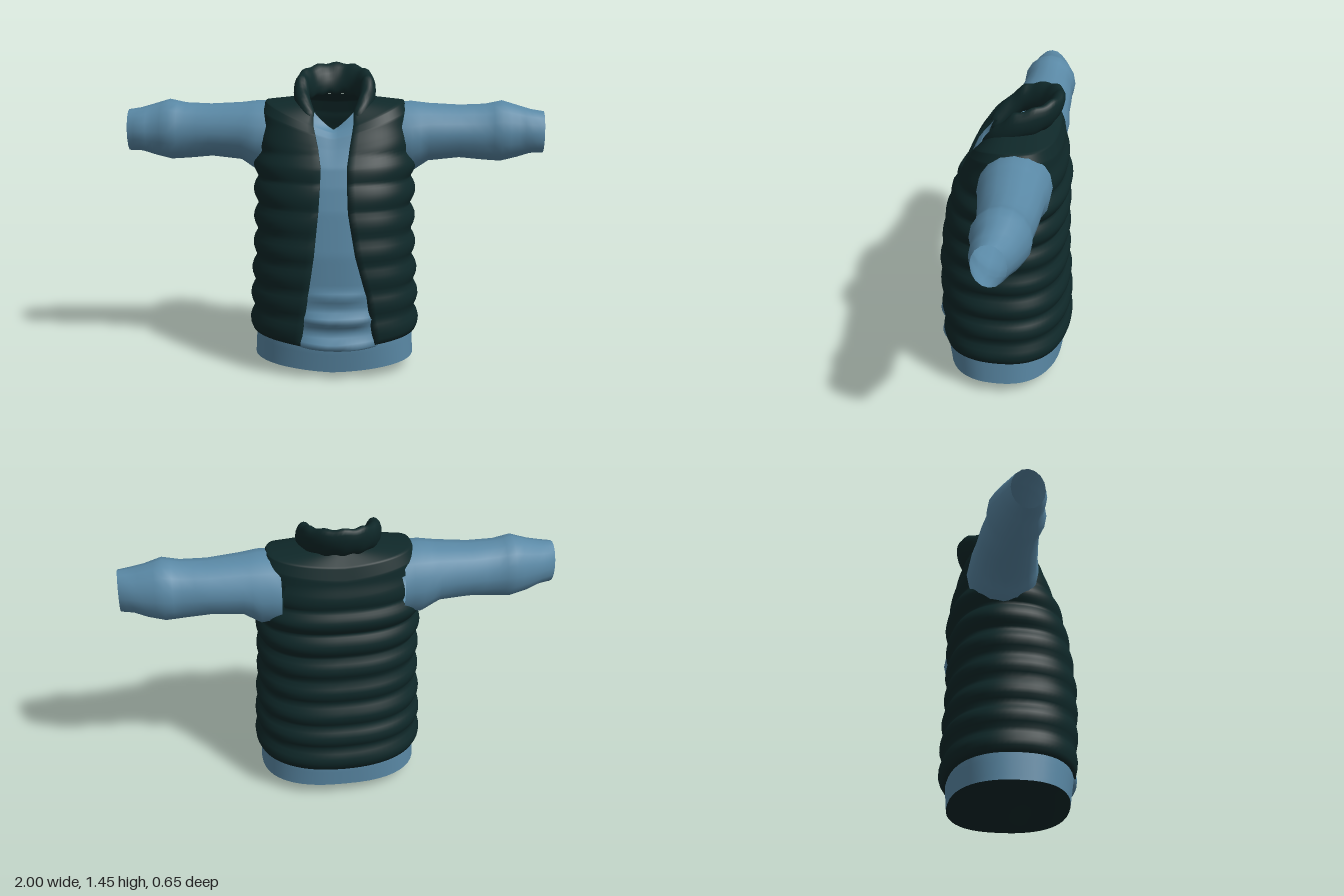
import * as THREE from 'three';
import { mergeVertices } from 'three/addons/utils/BufferGeometryUtils.js';

const { lerp } = THREE.MathUtils;

// Torso levels: y at side, front, back; half width; front z; back z; centre z
const TORSO = [
  [0.06, 0.03, 0.065, 0.385, 0.27, -0.285, 0],
  [0.19, 0.15, 0.17, 0.385, 0.295, -0.3, 0],
  [0.4, 0.4, 0.4, 0.378, 0.305, -0.295, 0],
  [0.6, 0.6, 0.6, 0.365, 0.307, -0.28, 0],
  [0.8, 0.8, 0.8, 0.36, 0.285, -0.275, -0.01],
  [0.92, 0.91, 0.92, 0.363, 0.262, -0.275, -0.03],
  [1.02, 1.0, 1.02, 0.365, 0.235, -0.28, -0.05],
  [1.15, 1.08, 1.12, 0.362, 0.19, -0.275, -0.07],
  [1.24, 1.13, 1.2, 0.355, 0.165, -0.265, -0.08],
  [1.285, 1.155, 1.26, 0.33, 0.14, -0.245, -0.08],
  [1.305, 1.165, 1.3, 0.16, 0.11, -0.19, -0.06],
];
// Half widths of the vest opening at levels 1 to 10
const EDGE_RIGHT = [0.15, 0.115, 0.085, 0.065, 0.058, 0.055, 0.07, 0.085, 0.095, 0.1];
const EDGE_LEFT = [0.2, 0.165, 0.11, 0.075, 0.07, 0.068, 0.08, 0.09, 0.095, 0.1];
// Sleeve rings: x, centre y, y radius, centre z, z radius
const SLEEVE = [
  [0.28, 1.11, 0.17, -0.085, 0.165],
  [0.37, 1.11, 0.172, -0.085, 0.165],
  [0.45, 1.132, 0.14, -0.09, 0.15],
  [0.6, 1.135, 0.128, -0.1, 0.135],
  [0.72, 1.132, 0.136, -0.1, 0.123],
  [0.8, 1.138, 0.147, -0.1, 0.132],
  [0.88, 1.136, 0.125, -0.1, 0.108],
  [0.94, 1.138, 0.106, -0.09, 0.098],
  [1.0, 1.135, 0.1, -0.085, 0.076],
];
const POWER = 2.4;

function sample(list, v) {
  const i = Math.min(Math.floor(v), list.length - 2);
  const f = v - i;
  return Array.isArray(list[0])
    ? list[i].map((a, k) => lerp(a, list[i + 1][k], f))
    : lerp(list[i], list[i + 1], f);
}

// Point on the torso; angle 0 is +x, PI/2 is the front
function torso(v, angle, out = 0) {
  const [side, front, back, w, zf, zb, c] = sample(TORSO, v);
  const cs = Math.cos(angle), sn = Math.sin(angle);
  const ex = Math.sign(cs) * Math.abs(cs) ** (2 / POWER);
  const ez = Math.sign(sn) * Math.abs(sn) ** (2 / POWER);
  return new THREE.Vector3(
    ex * w + cs * out,
    lerp(sn > 0 ? front : back, side, Math.abs(cs)),
    c + ez * (sn > 0 ? zf - c : c - zb) + sn * out
  );
}

// Surface over a grid of fn(u, v); keep() may drop faces
function grid(name, cols, rows, fn, material, keep = () => true, flip = false) {
  const points = [], index = [];
  for (let j = 0; j <= rows; j++)
    for (let i = 0; i <= cols; i++) points.push(fn(i / cols, j / rows, i, j));
  for (let j = 0; j < rows; j++) {
    for (let i = 0; i < cols; i++) {
      const a = j * (cols + 1) + i, b = a + 1, d = a + cols + 1, c = d + 1;
      if (!keep([a, b, c, d].map((k) => points[k]))) continue;
      index.push(...(flip ? [a, c, b, a, d, c] : [a, b, c, a, c, d]));
    }
  }
  let g = new THREE.BufferGeometry().setFromPoints(points);
  g.setIndex(index);
  g = mergeVertices(g, 1e-5);
  g.computeVertexNormals();
  const mesh = new THREE.Mesh(g, material);
  mesh.name = name;
  return mesh;
}

// Angle on the torso where the half width equals x
function edgeAngle(v, x) {
  return Math.acos(Math.min(1, x / sample(TORSO, v)[3]) ** (POWER / 2));
}

export function createModel() {
  const group = new THREE.Group();
  group.name = 'vestAndShirt';
  const vestGreen = new THREE.MeshStandardMaterial({ color: 0x0f2829, side: THREE.DoubleSide });
  const shirtBlue = new THREE.MeshStandardMaterial({ color: 0x5a89a6 });
  const sleeveBlue = shirtBlue;
  sleeveBlue.side = THREE.FrontSide;

  // Quilted vest, edges folded inward at the hem and the opening
  const cols = 72, rows = 82;
  const inArmhole = (p) => Math.abs(p.x) > 0.2 &&
    ((p.y - 1.11) / 0.162) ** 2 + ((p.z + 0.085) / 0.157) ** 2 < 1;
  group.add(grid('quiltedVest', cols, rows, (u, t, i, j) => {
    const v = 1 + 9 * Math.max(0, j - 1) / (rows - 1);
    const s = THREE.MathUtils.clamp((i - 1) / (cols - 2), 0, 1);
    const start = edgeAngle(v, sample(EDGE_LEFT, v - 1));
    const end = -Math.PI - edgeAngle(v, sample(EDGE_RIGHT, v - 1));
    const angle = lerp(start, end, s);
    const y = torso(v, angle).y;
    const fade = THREE.MathUtils.clamp((1.2 - y) / 0.2, 0, 1);
    const depth = lerp(0.028, 0.01, Math.max(0, Math.sin(angle)));
    let out = depth * fade * Math.abs(Math.sin(Math.PI * (y - 0.17) / 0.127));
    if (j === 0 || i === 0 || i === cols) out = -0.03;
    return torso(v, angle, out);
  }, vestGreen, (quad) => !quad.every(inArmhole)));

  // Shirt front with soft creases near the waist, and its dark lining
  const shirtFront = (u, t) => {
    const v = 0.9 + 9.1 * t;
    const reach = (list) => edgeAngle(v, sample(list, Math.max(0, v - 1)) + 0.045);
    const angle = lerp(Math.PI - reach(EDGE_RIGHT), reach(EDGE_LEFT), u);
    const y = torso(v, angle).y;
    const crease = Math.max(0, Math.cos((y - 0.165 - 0.1 * (u - 0.5) ** 2) * 2 * Math.PI / 0.12));
    const waist = THREE.MathUtils.clamp((0.45 - y) / 0.12, 0, 1);
    const middle = Math.sin(Math.PI * u);
    return torso(v, angle, -0.012 + 0.038 * crease * waist * middle);
  };
  group.add(grid('shirtFront', 20, 90, shirtFront, shirtBlue));
  group.add(grid('shirtLining', 20, 90, (u, t) => {
    const p = shirtFront(u, t);
    p.z -= 0.006;
    return p;
  }, vestGreen, undefined, true));

  // Shirt hem below the vest
  const around = (u) => Math.PI / 2 - u * 2 * Math.PI;
  group.add(grid('shirtHem', 48, 6, (u, t) => torso(t * 1.1, around(u), -0.008 * t), shirtBlue));

  // Dark inside closing the hem, sagging toward the front
  group.add(grid('hemInside', 48, 8, (u, t) => {
    const angle = around(u), p = torso(0, angle);
    const sag = lerp(0.01, 0.035, Math.max(0, Math.sin(angle)));
    return new THREE.Vector3(p.x * t, lerp(0.04, p.y, t) - sag * Math.sin(Math.PI * t), p.z * t);
  }, vestGreen));

  // Sleeves, open at the cuff, with an inner face just inside
  for (const side of [1, -1]) {
    const ring = (shrink) => (u, t) => {
      const [x, cy, ry, cz, rz] = sample(SLEEVE, t * (SLEEVE.length - 1));
      const a = u * 2 * Math.PI;
      return new THREE.Vector3(side * x, cy + (ry - shrink) * Math.cos(a), cz + (rz - shrink) * Math.sin(a));
    };
    const label = side > 0 ? 'left' : 'right';
    group.add(grid(label + 'Sleeve', 16, 16, ring(0), sleeveBlue, undefined, side < 0));
    group.add(grid(label + 'SleeveInside', 16, 16, ring(0.001), sleeveBlue, undefined, side > 0));
  }

  // Padded collar, high at the back and dropping to the front
  group.add(grid('collar', 56, 16, (u, t) => {
    const s = u * 2 - 1, a = s * 2.55, b = -t * 2 * Math.PI;
    const back = Math.cos(a), dx = Math.sin(a), dz = -back;
    const k = Math.sqrt(Math.max(0, 1 - s ** 12));
    const h = lerp(0.055, 0.075, (back + 1) / 2) * (1 + 0.06 * Math.cos(a * 12));
    const out = k * (0.038 * Math.cos(b) + 0.025 * Math.max(0, back) * Math.sin(b));
    return new THREE.Vector3(
      dx * (0.158 + out),
      1.335 + back * (back > 0 ? 0.04 : 0.15) + k * h * Math.sin(b),
      -0.05 + dz * 0.17 + dz * out
    );
  }, vestGreen));

  return group;
}
